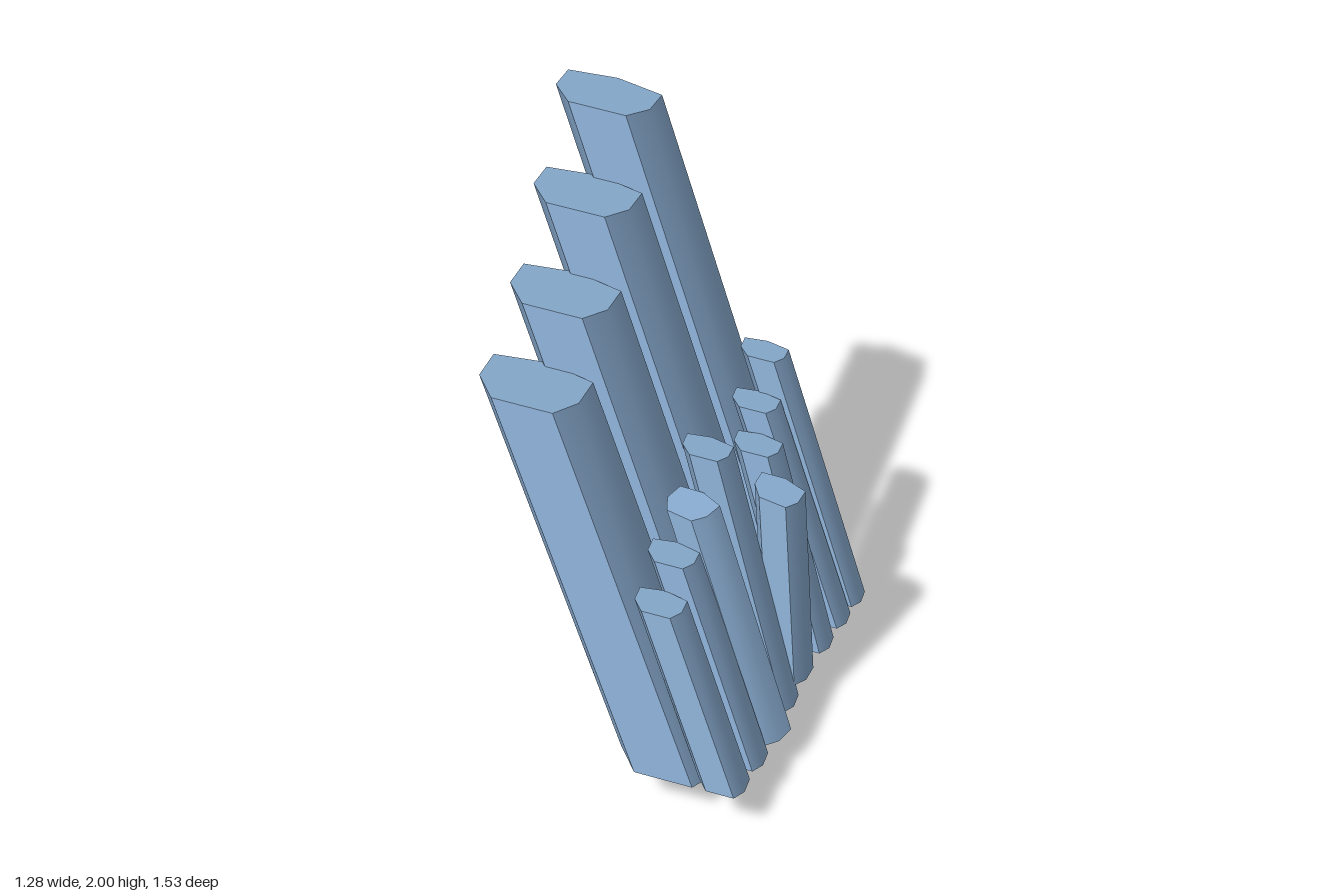
import * as THREE from 'three';
import { toCreasedNormals } from 'three/addons/utils/BufferGeometryUtils.js';

// Uneven seven-sided outline (x, z) shared by every column
const OUTLINE = [
  [-0.1825, -0.105], [-0.022, -0.175], [0.158, -0.15], [0.1825, 0.015],
  [0.146, 0.136], [-0.052, 0.175], [-0.152, 0.06],
];

// Ring of points around a centre; the cap plane is tilted by slopes in x and z
function ring(center, scale, spin, tilt) {
  const c = Math.cos(spin), s = Math.sin(spin);
  return OUTLINE.map(([px, pz]) => {
    const x = (px * c - pz * s) * scale, z = (px * s + pz * c) * scale;
    return [center[0] + x, center[1] + tilt[0] * x + tilt[1] * z, center[2] + z];
  });
}

// Leaning prism between two parallel tilted caps
function column(name, material, top, bottom, scale, spin = 0, tilt = [-0.12, 0.21]) {
  const t = ring(top, scale, spin, tilt), b = ring(bottom, scale, spin, tilt);
  const pos = [];
  const n = OUTLINE.length;
  for (let i = 0; i < n; i++) {
    const j = (i + 1) % n;
    pos.push(...b[j], ...b[i], ...t[i], ...b[j], ...t[i], ...t[j]); // side
    pos.push(...top, ...t[j], ...t[i]); // top cap
    pos.push(...bottom, ...b[i], ...b[j]); // bottom cap
  }
  const geometry = new THREE.BufferGeometry();
  geometry.setAttribute('position', new THREE.Float32BufferAttribute(pos, 3));
  const mesh = new THREE.Mesh(toCreasedNormals(geometry, 0.7), material);
  mesh.name = name;
  return mesh;
}

export function createModel() {
  const model = new THREE.Group();
  model.name = 'leaningColumns';
  const blue = new THREE.MeshStandardMaterial({ color: 0x8fb3d9 });
  blue.name = 'paleBlue';

  // Back row: four tall columns stepping down
  const tallTops = [
    [-0.4575, 1.957, -0.595], [-0.383, 1.767, -0.247],
    [-0.308, 1.595, 0.103], [-0.26, 1.452, 0.442],
  ];
  tallTops.forEach((top, i) => {
    const bottom = [0.3025 - 0.004 * i, 0.052 + 0.025 * i, -0.395 + 0.3235 * i];
    model.add(column(`tallColumn${i + 1}`, blue, top, bottom, 1));
  });

  // Front row: eight short columns; two are twisted with their own cap tilt
  const short = [
    { top: [0.1725, 1.07, -0.5575], bottom: [0.545, 0.13, -0.463] },
    { top: [0.21, 0.97, -0.3875], bottom: [0.54, 0.14, -0.315] },
    { top: [0.2825, 0.91, -0.225], bottom: [0.535, 0.155, -0.145] },
    { top: [0.4325, 0.88, -0.0425], bottom: [0.52, 0.165, 0.04], spin: 0.13, tilt: [-0.22, 0.1] },
    { top: [0.22, 1.095, 0.095], bottom: [0.52, 0.134, 0.175] },
    { top: [0.2375, 0.99, 0.2775], bottom: [0.548, 0.145, 0.347], spin: 0.35, tilt: [-0.08, 0.05] },
    { top: [0.24, 0.895, 0.4375], bottom: [0.535, 0.155, 0.515] },
    { top: [0.2675, 0.825, 0.61], bottom: [0.53, 0.17, 0.675] },
  ];
  short.forEach((s, i) => {
    model.add(column(`shortColumn${i + 1}`, blue, s.top, s.bottom, 0.475, s.spin, s.tilt));
  });
  return model;
}
